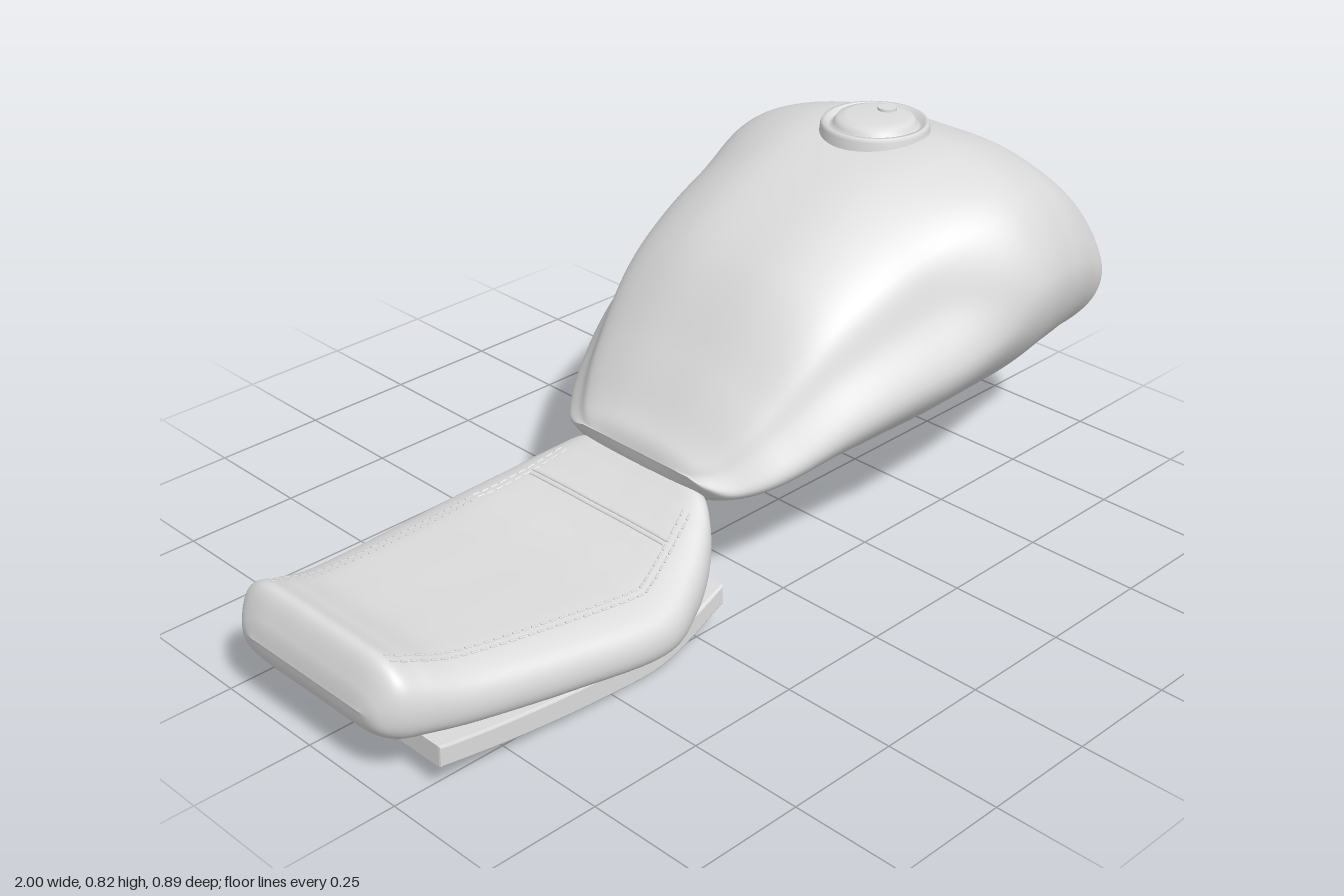
import * as THREE from 'three';
import { mergeGeometries } from 'three/addons/utils/BufferGeometryUtils.js';

// Catmull-Rom through rows of numbers, t in 0..1
function rowAt(rows, t) {
  const n = rows.length - 1, s = Math.min(t * n, n - 1e-6), i = Math.floor(s), f = s - i;
  const a = rows[Math.max(i - 1, 0)], b = rows[i], c = rows[i + 1], d = rows[Math.min(i + 2, n)];
  return b.map((p, k) => {
    const m0 = (c[k] - a[k]) / 2, m1 = (d[k] - p) / 2, q = c[k] - p;
    return p + f * (m0 + f * (3 * q - 2 * m0 - m1 + f * (m0 + m1 - 2 * q)));
  });
}

// Closed symmetric section from a half outline [u, v], top centre to bottom centre
function section(half) {
  const mirrored = half.slice(1, -1).reverse().map(([u, v]) => [-u, v]);
  return new THREE.CatmullRomCurve3([...half, ...mirrored].map(([u, v]) => new THREE.Vector3(u, v, 0)), true);
}

// Skin sections along x; each row is [x, top, bottom, halfWidth]
function loft(rows, sectionAt, steps, sides) {
  const pos = [], index = [];
  for (let i = 0; i <= steps; i++) {
    const [x, top, bot, w] = rowAt(rows, i / steps);
    for (let j = 0; j < sides; j++) {
      const p = sectionAt(x, j / sides);
      pos.push(x, bot + (top - bot) * p.y, w * p.x);
      if (i === steps) continue;
      const a = i * sides + j, c = i * sides + (j + 1) % sides;
      index.push(a, c, a + sides, c, c + sides, a + sides);
    }
  }
  const g = new THREE.BufferGeometry();
  g.setAttribute('position', new THREE.Float32BufferAttribute(pos, 3));
  g.setIndex(index);
  g.computeVertexNormals();
  return g;
}

function bisect(f, target, lo, hi) {
  for (let i = 0; i < 30; i++) {
    const m = (lo + hi) / 2;
    if (f(m) < target) lo = m; else hi = m;
  }
  return lo;
}

export function createModel() {
  const group = new THREE.Group();
  const grey = new THREE.MeshStandardMaterial({ color: 0xdcdcdc });
  grey.name = 'plain grey';
  const add = (name, geometry) => {
    const mesh = new THREE.Mesh(geometry, grey);
    mesh.name = name;
    group.add(mesh);
    return mesh;
  };

  // Fuel tank: shallow knee recesses at the rear blend into a full round front
  const recessed = section([[0, 1], [0.4, 0.97], [0.75, 0.82], [0.86, 0.64], [1, 0.42], [0.77, 0.2], [0.42, 0.045], [0, 0]]);
  const full = section([[0, 1], [0.44, 0.98], [0.82, 0.85], [0.99, 0.62], [0.965, 0.45], [0.78, 0.24], [0.43, 0.05], [0, 0]]);
  const tankRows = [
    [-0.178, 0.295, 0.295, 0.15], [-0.165, 0.325, 0.245, 0.195], [-0.13, 0.365, 0.205, 0.245],
    [-0.05, 0.468, 0.187, 0.305], [0.1, 0.637, 0.188, 0.366], [0.32, 0.754, 0.192, 0.415],
    [0.54, 0.79, 0.198, 0.448], [0.7, 0.757, 0.204, 0.415], [0.82, 0.692, 0.209, 0.375],
    [0.91, 0.6, 0.217, 0.335], [0.965, 0.495, 0.262, 0.255], [0.992, 0.43, 0.32, 0.16], [1, 0.38, 0.38, 0.09],
  ];
  add('fuelTank', loft(tankRows, (x, t) =>
    recessed.getPoint(t).lerp(full.getPoint(t), THREE.MathUtils.smoothstep(x, 0.3, 0.55)), 120, 98));

  // Filler cap: flange, groove and raised lid, then the lock
  const capProfile = [[0, 0.82], [0.06, 0.819], [0.08, 0.814], [0.087, 0.804], [0.091, 0.795], [0.098, 0.795],
    [0.103, 0.806], [0.111, 0.806], [0.115, 0.798], [0.118, 0.77]];
  const cap = add('fillerCap', new THREE.LatheGeometry(capProfile.reverse().map(([r, y]) => new THREE.Vector2(r, y)), 48));
  cap.position.x = 0.525;
  const lock = add('capLock', new THREE.CylinderGeometry(0.02, 0.021, 0.01, 24));
  lock.position.set(0.562, 0.82, 0);

  // Seat cushion
  const pad = section([[0, 1], [0.4, 1], [0.75, 0.965], [0.93, 0.8], [1, 0.48], [0.95, 0.16], [0.78, 0.02], [0, 0]]);
  const seatRows = [
    [-1, 0.16, 0.16, 0.16], [-0.988, 0.205, 0.115, 0.205], [-0.955, 0.256, 0.09, 0.237], [-0.9, 0.238, 0.08, 0.252],
    [-0.8, 0.205, 0.068, 0.272], [-0.6, 0.185, 0.05, 0.305], [-0.4, 0.177, 0.038, 0.33], [-0.29, 0.205, 0.058, 0.297],
    [-0.205, 0.243, 0.1, 0.245], [-0.16, 0.266, 0.175, 0.195], [-0.138, 0.25, 0.25, 0.15],
  ];
  add('seatCushion', loft(seatRows, (x, t) => pad.getPoint(t), 100, 84));

  // Point on the upper surface of the cushion
  const onSeat = (x, z) => {
    const [, top, bot, w] = rowAt(seatRows, bisect(t => rowAt(seatRows, t)[0], x, 0, 1));
    const v = pad.getPoint(bisect(t => pad.getPoint(t).x, Math.abs(z) / w, 0, 0.28)).y;
    return new THREE.Vector3(x, bot + (top - bot) * v, z);
  };

  // Double rows of stitches along both edges of the seat panel
  const stitches = [];
  const path = [[-0.94, 0.185], [-0.39, 0.256], [-0.2, 0.185]];
  for (const side of [-1, 1]) for (const inset of [0, 0.017]) for (let k = 0; k < 2; k++) {
    const [x0, z0] = path[k], [x1, z1] = path[k + 1];
    const count = Math.round((x1 - x0) / 0.02);
    for (let i = 0; i < count; i++) {
      const at = f => onSeat(x0 + (x1 - x0) * f, side * (z0 + (z1 - z0) * f - inset));
      const a = at(i / count), b = at((i + 0.7) / count);
      const g = new THREE.CylinderGeometry(0.0025, 0.0025, a.distanceTo(b), 6);
      g.applyQuaternion(new THREE.Quaternion().setFromUnitVectors(new THREE.Vector3(0, 1, 0), b.clone().sub(a).normalize()));
      g.translate(...a.add(b).multiplyScalar(0.5).toArray());
      stitches.push(g);
    }
  }
  add('seatStitching', mergeGeometries(stitches));

  // Cross seams near the front of the seat
  for (const x of [-0.285, -0.275]) {
    const pts = [];
    for (let i = 0; i <= 12; i++) pts.push(onSeat(x, -0.195 + 0.39 * i / 12));
    add('seatSeam', new THREE.TubeGeometry(new THREE.CatmullRomCurve3(pts), 24, 0.003, 6));
  }

  // Seat base pan
  const pan = new THREE.Shape();
  pan.moveTo(-0.915, 0.055);
  pan.bezierCurveTo(-0.75, 0.025, -0.6, 0.008, -0.43, 0.002);
  pan.bezierCurveTo(-0.36, 0, -0.32, 0.015, -0.205, 0.073);
  pan.lineTo(-0.205, 0.117);
  pan.bezierCurveTo(-0.32, 0.06, -0.36, 0.048, -0.43, 0.05);
  pan.bezierCurveTo(-0.6, 0.058, -0.75, 0.07, -0.915, 0.1);
  pan.closePath();
  const base = add('seatBase', new THREE.ExtrudeGeometry(pan, {
    depth: 0.55, curveSegments: 16, bevelEnabled: true, bevelSize: 0.004, bevelThickness: 0.005, bevelOffset: -0.004, bevelSegments: 2,
  }));
  base.position.z = -0.275;

  return group;
}
